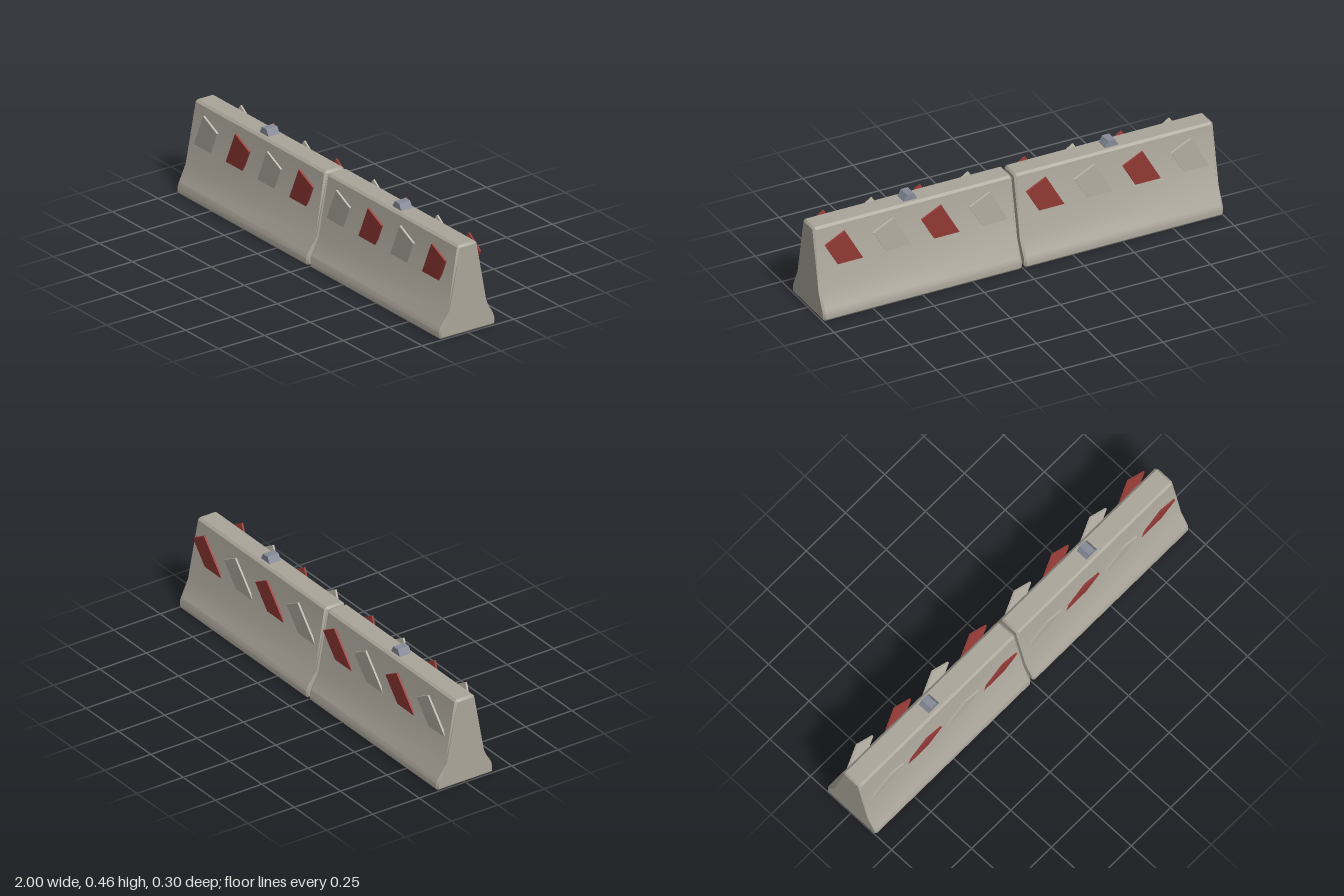
import * as THREE from 'three';
import { toCreasedNormals } from 'three/addons/utils/BufferGeometryUtils.js';

const concrete = new THREE.MeshStandardMaterial({ color: 0xaaa59a, side: THREE.DoubleSide });
concrete.name = 'concrete';
const red = new THREE.MeshStandardMaterial({ color: 0x9b3d38 });
red.name = 'red paint';
const pale = new THREE.MeshStandardMaterial({ color: 0xbdb7ab });
pale.name = 'pale paint';
const steel = new THREE.MeshStandardMaterial({ color: 0x858a97 });
steel.name = 'steel';

const HALF = 0.497;   // half length of one segment
const BEVEL = 0.01;

// Half profiles as [z, y], from the ground up
const SIDE = [[0.143, 0], [0.151, 0.01], [0.151, 0.035], [0.143, 0.057], [0.1, 0.13], [0.053, 0.42], [0.042, 0.43]];
const CAP = [[0.143, 0.01], [0.143, 0.01], [0.143, 0.038], [0.136, 0.054], [0.1, 0.13], [0.042, 0.42], [0.042, 0.42]];

// Hollow shell, open underneath, with bevelled ends
function shellGeometry() {
  const ring = (x, half) => [
    ...half.map(([z, y]) => [x, y, z]),
    ...half.slice().reverse().map(([z, y]) => [x, y, -z]),
  ];
  const rings = [
    ring(-HALF, CAP), ring(-HALF + BEVEL, SIDE),
    ring(HALF - BEVEL, SIDE), ring(HALF, CAP),
  ];
  const last = rings[0].length - 1;
  const pos = [];
  const quad = (a, b, c, d) => pos.push(...a, ...b, ...c, ...a, ...c, ...d);

  // walls and top
  for (let i = 0; i < 3; i++) {
    const r = rings[i], s = rings[i + 1];
    for (let j = 0; j < last; j++) quad(r[j], s[j], s[j + 1], r[j + 1]);
    // bevel under each end
    if (i !== 1) quad(r[0], r[last], s[last], s[0]);
  }
  // end faces
  const [l, , , r] = rings;
  for (let k = 1; k < CAP.length - 1; k++) {
    quad(r[k], r[last - k], r[last - k - 1], r[k + 1]);
    quad(l[k + 1], l[last - k - 1], l[last - k], l[k]);
  }
  const g = new THREE.BufferGeometry();
  g.setAttribute('position', new THREE.Float32BufferAttribute(pos, 3));
  return toCreasedNormals(g, 0.58);
}

// Tapered lifting lug
function lugGeometry() {
  const s = new THREE.Shape();
  s.moveTo(-0.035, 0.428);
  s.lineTo(0.035, 0.428);
  s.lineTo(0.017, 0.46);
  s.lineTo(-0.017, 0.46);
  s.closePath();
  return new THREE.ExtrudeGeometry(s, { depth: 0.06, bevelEnabled: false }).translate(0, 0, -0.03);
}

export function createModel() {
  const model = new THREE.Group();
  model.name = 'roadBarrier';
  const shell = shellGeometry();
  const lug = lugGeometry();
  const plate = new THREE.BoxGeometry(0.11, 0.24, 0.009);

  const add = (parent, name, geometry, material) => {
    const mesh = new THREE.Mesh(geometry, material);
    mesh.name = name;
    parent.add(mesh);
    return mesh;
  };

  for (const side of [-1, 1]) {
    const segment = new THREE.Group();
    segment.name = side < 0 ? 'rightSegment' : 'leftSegment';
    segment.position.x = side * 0.503;
    add(segment, 'barrierShell', shell, concrete);
    add(segment, 'liftingLug', lug, steel);

    // slanted warning stripes on both faces, leaning outward at the top
    for (const face of [1, -1]) {
      for (let i = 0; i < 4; i++) {
        const stripe = add(segment, face > 0 ? 'frontStripe' : 'backStripe', plate, i % 2 ? red : pale);
        stripe.position.set(-0.369 + i * 0.241, 0.28, face * 0.0845);
        stripe.rotation.set(face * 0.13, 0, -Math.PI / 6);
      }
    }
    model.add(segment);
  }
  return model;
}
